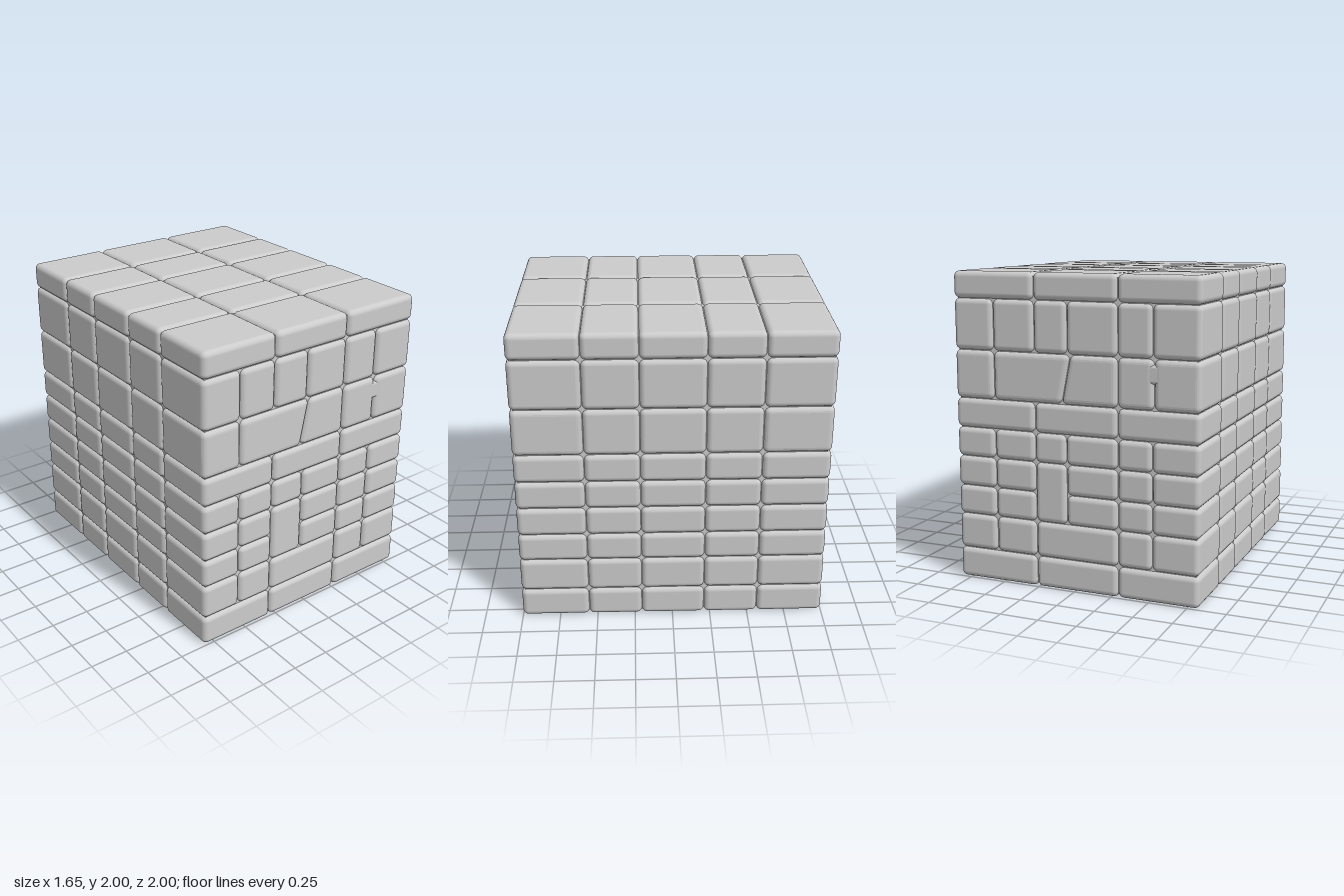
import * as THREE from 'three';
import { RoundedBoxGeometry } from 'three/addons/geometries/RoundedBoxGeometry.js';

const W = 0.825; // half width
const A = -0.295, B = 0.265; // main cuts across x
const ROWS = [0, 0.2, 0.43, 0.62, 0.815, 1.005, 1.195, 1.505, 1.83, 2];
const DEPTHS = [-1, -0.565, -0.21, 0.203, 0.555, 1];
// vertical cuts in each course of the front face, bottom to top
const FACE_CUTS = [
  [A, B],
  [-0.55, A, B, 0.52],
  [-0.55, A, -0.05, B, 0.52],
  [-0.55, A, -0.05, B, 0.52],
  [-0.55, A, -0.05, B, 0.52],
  [A, B],
  [-0.55, -0.05, B, 0.53],
  [-0.55, A, -0.04, B, 0.52],
  [A, B],
];

const material = new THREE.MeshStandardMaterial({ color: 0xcccccc, roughness: 0.9 });

// rounded block between two corners
function block(name, x0, x1, y0, y1, z0, z1, radius = 0.036) {
  const geo = new RoundedBoxGeometry(x1 - x0, y1 - y0, z1 - z0, 3, radius);
  geo.translate((x0 + x1) / 2, (y0 + y1) / 2, (z0 + z1) / 2);
  const mesh = new THREE.Mesh(geo, material);
  mesh.name = name;
  return mesh;
}

// lean only the joint at x = cut, leaving the block's other side upright
function leanJoint(mesh, cut, yMid, slope) {
  const p = mesh.geometry.attributes.position;
  for (let i = 0; i < p.count; i++) {
    if (Math.abs(p.getX(i) - cut) < 0.05) {
      p.setX(i, p.getX(i) + (p.getY(i) - yMid) * slope);
    }
  }
  mesh.geometry.computeVertexNormals();
}

// the back repeats the front turned half round, but keeps the main cuts
function faceCuts(row, back) {
  const cuts = FACE_CUTS[row].map((c) => {
    if (!back) return c;
    if (c === A) return B;
    return c === B ? A : -c;
  });
  return [-W, ...cuts.sort((a, b) => a - b), W];
}

// detailed stone wall for the front or back layer
function endWall(back) {
  const wall = new THREE.Group();
  wall.name = back ? 'backWall' : 'frontWall';
  const layer = back ? 0 : 4;
  const z0 = DEPTHS[layer], z1 = DEPTHS[layer + 1];
  const isTall = (x) => Math.abs(x - (back ? 0.158 : -0.172)) < 0.03;
  for (let r = 0; r < 9; r++) {
    const xs = faceCuts(r, back);
    for (let i = 0; i < xs.length - 1; i++) {
      const mid = (xs[i] + xs[i + 1]) / 2;
      // one narrow stone runs through two courses
      if (r === 3 && isTall(mid)) continue;
      const top = r === 2 && isTall(mid) ? ROWS[4] : ROWS[r + 1];
      const stone = block('wallStone', xs[i], xs[i + 1], ROWS[r], top, z0, z1);
      if (r === 6) leanJoint(stone, back ? 0.05 : -0.05, 1.35, back ? -0.2 : 0.2);
      wall.add(stone);
    }
  }
  // fills the upper half of a joint so it fades out as a short notch
  const s = back ? -1 : 1;
  const xa = s * 0.33, xb = s * 0.77;
  wall.add(block('jointFill', Math.min(xa, xb), Math.max(xa, xb), 1.355, 1.47,
    z0 + 0.002, z1 - 0.002, 0.02));
  return wall;
}

export function createModel() {
  const group = new THREE.Group();
  group.name = 'stoneBlockStack';

  // mortar body that forms the floor of the grooves
  const inset = 0.024;
  const core = new THREE.Mesh(
    new THREE.BoxGeometry(2 * (W - inset), 2 - 2 * inset, 2 - 2 * inset), material);
  core.position.y = 1;
  core.name = 'mortarCore';
  group.add(core);

  group.add(endWall(false), endWall(true));

  // middle layers: three stones across on top and bottom, full-width courses between
  for (let layer = 1; layer < 4; layer++) {
    const slice = new THREE.Group();
    slice.name = 'middleLayer' + layer;
    for (let r = 0; r < 9; r++) {
      const xs = r === 0 || r === 8 ? [-W, A, B, W] : [-W, W];
      for (let i = 0; i < xs.length - 1; i++) {
        slice.add(block('courseStone', xs[i], xs[i + 1], ROWS[r], ROWS[r + 1],
          DEPTHS[layer], DEPTHS[layer + 1]));
      }
    }
    group.add(slice);
  }
  return group;
}
